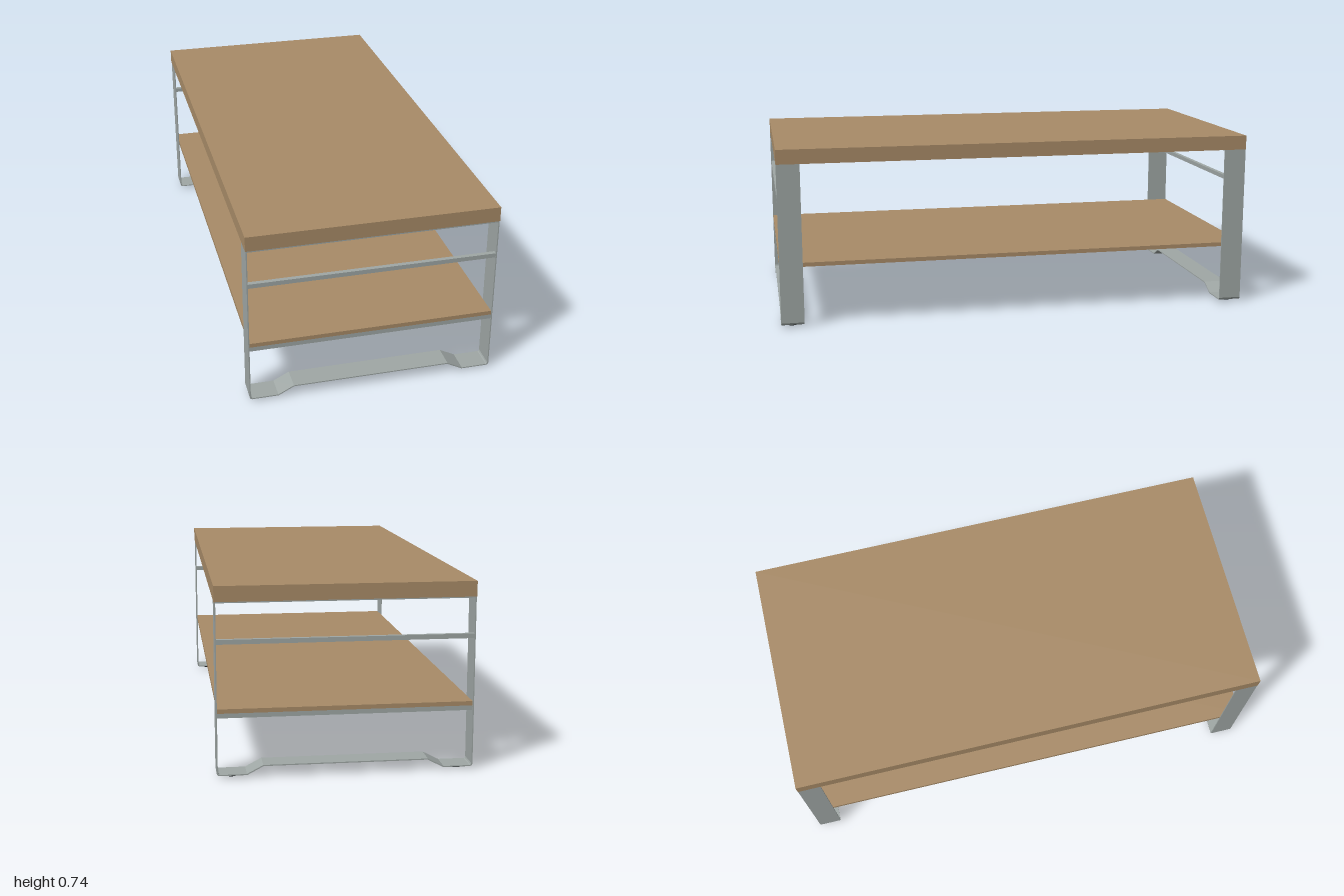
import * as THREE from 'three';

const wood = new THREE.MeshStandardMaterial({ color: 0xa98c68 });
const steel = new THREE.MeshStandardMaterial({ color: 0xa0a8a6 });
const rubber = new THREE.MeshStandardMaterial({ color: 0x23282b });

const FRAME_DEPTH = 0.095;
const FRAME_Z = 1 - FRAME_DEPTH / 2;

function add(parent, name, geometry, material, x, y, z) {
  const mesh = new THREE.Mesh(geometry, material);
  mesh.name = name;
  mesh.position.set(x, y, z);
  parent.add(mesh);
  return mesh;
}

// Mirror the right half of an outline into a closed loop
function mirrored(half) {
  const points = half.map(([x, y]) => new THREE.Vector2(x, y));
  return points.concat(half.map(([x, y]) => new THREE.Vector2(-x, y)).reverse());
}

// Flat steel band bent into a closed loop, raised in the middle of the base
function frameGeometry() {
  const shape = new THREE.Shape(mirrored([
    [0.319, 0.043], [0.382, 0.01], [0.489, 0.01], [0.495, 0.013], [0.498, 0.02], [0.498, 0.68],
  ]));
  shape.holes.push(new THREE.Path(mirrored([
    [0.32, 0.0475], [0.383, 0.0145], [0.487, 0.0145], [0.491, 0.016], [0.4935, 0.022], [0.4935, 0.6755],
  ])));
  const geometry = new THREE.ExtrudeGeometry(shape, { depth: FRAME_DEPTH, bevelEnabled: false });
  return geometry.translate(0, 0, -FRAME_DEPTH / 2);
}

export function createModel() {
  const model = new THREE.Group();
  model.name = 'coffeeTable';

  add(model, 'tableTop', new THREE.BoxGeometry(1, 0.06, 2), wood, 0, 0.71, 0);
  add(model, 'shelf', new THREE.BoxGeometry(0.985, 0.017, 1.998), wood, 0, 0.2625, 0);

  const frame = frameGeometry();
  const rail = new THREE.BoxGeometry(0.99, 0.018, 0.018);
  const foot = new THREE.CylinderGeometry(0.028, 0.024, 0.0105, 32);

  // One leg frame with rails and feet at each end
  for (const side of [1, -1]) {
    const end = new THREE.Group();
    end.name = side > 0 ? 'frontLegFrame' : 'backLegFrame';
    add(end, 'legBand', frame, steel, 0, 0, side * FRAME_Z);
    add(end, 'upperRail', rail, steel, 0, 0.528, side * 0.99);
    add(end, 'shelfRail', rail, steel, 0, 0.245, side * 0.99);
    for (const x of [0.44, -0.44]) {
      add(end, x > 0 ? 'leftFoot' : 'rightFoot', foot, rubber, x, 0.00525, side * FRAME_Z);
    }
    model.add(end);
  }
  return model;
}
